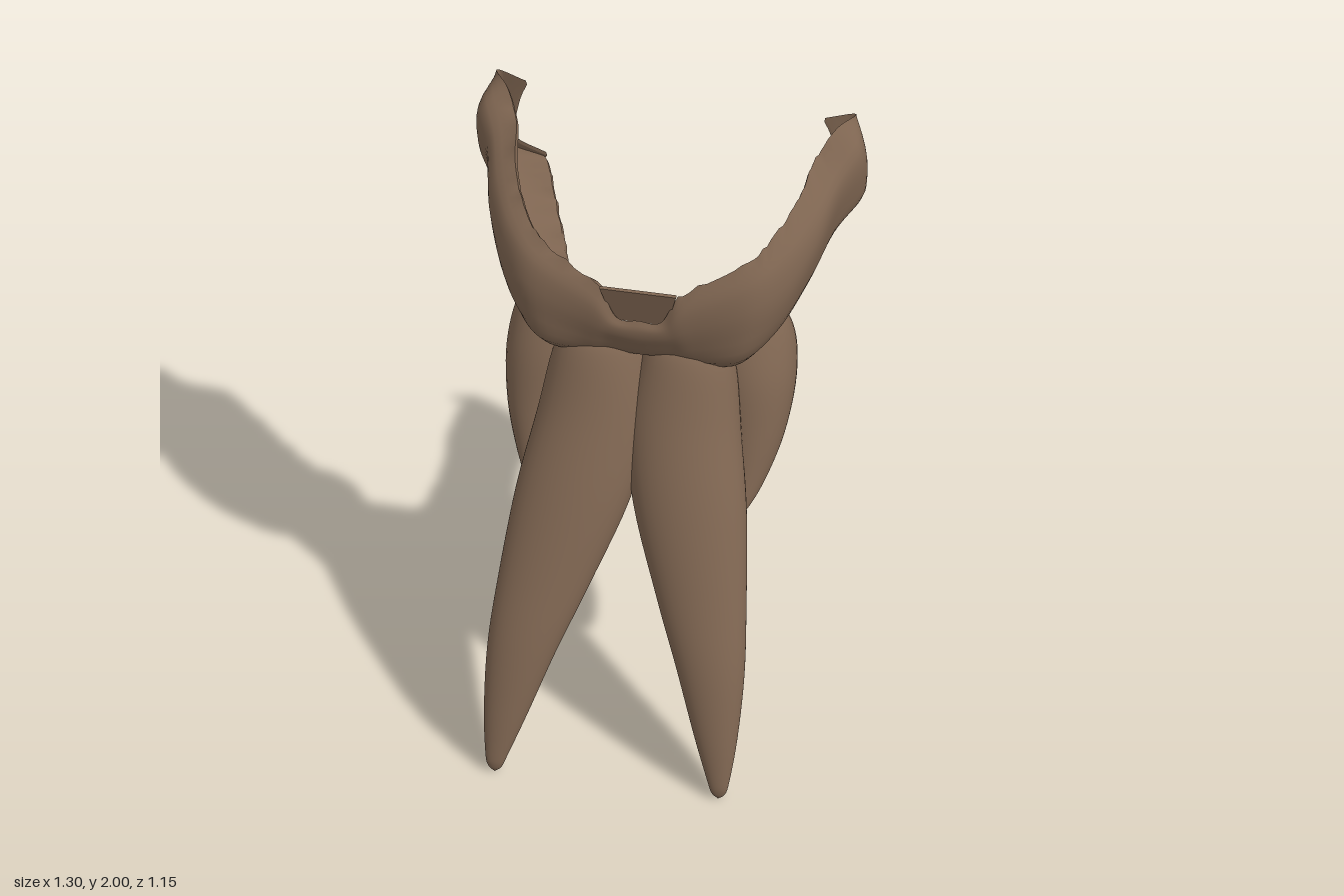
import * as THREE from 'three';
import { mergeVertices } from 'three/addons/utils/BufferGeometryUtils.js';

// Smooth surface from a grid of points: rows[i][j]
function surface(rows) {
  const n = rows[0].length, index = [];
  for (let i = 0; i < rows.length - 1; i++) {
    for (let j = 0; j < n - 1; j++) {
      const a = i * n + j, b = a + n;
      index.push(a, a + 1, b, a + 1, b + 1, b);
    }
  }
  let g = new THREE.BufferGeometry().setFromPoints(rows.flat());
  g.setIndex(index);
  g = mergeVertices(g, 1e-5);
  g.computeVertexNormals();
  return g;
}

const spline = (pts) => new THREE.CatmullRomCurve3(pts, false, 'catmullrom', 0.5);

// Tapered limb: stations are [x, y, z, radiusX, radiusZ], rings lean by tilt
function limb(stations, tilt, side) {
  const axis = spline(stations.map(([x, y, z]) => new THREE.Vector3(x, y, z)));
  const radii = spline(stations.map((s) => new THREE.Vector3(s[3], s[4], 0)));
  const rows = [], steps = (stations.length - 1) * 5;
  for (let i = 0; i <= steps; i++) {
    const c = axis.getPoint(i / steps), r = radii.getPoint(i / steps), row = [];
    for (let j = 0; j <= 32; j++) {
      const t = (j % 32) / 32 * Math.PI * 2 * side;
      const dz = Math.max(r.y, 0) * Math.sin(t);
      row.push(new THREE.Vector3(side * (c.x + Math.max(r.x, 0) * Math.cos(t)), Math.max(0, c.y + tilt * dz), c.z + dz));
    }
    rows.push(row);
  }
  return surface(rows);
}

const FRONT = [
  [0.14, 1.375, -0.10, 0, 0], [0.14, 1.367, -0.095, 0.085, 0.055], [0.142, 1.345, -0.083, 0.135, 0.09],
  [0.145, 1.28, -0.055, 0.163, 0.113], [0.15, 1.1, 0.03, 0.19, 0.115], [0.195, 0.87, 0.16, 0.19, 0.105],
  [0.265, 0.6, 0.31, 0.15, 0.08], [0.315, 0.4, 0.41, 0.114, 0.066], [0.35, 0.2, 0.495, 0.073, 0.044],
  [0.37, 0.06, 0.55, 0.037, 0.021], [0.373, 0.018, 0.562, 0.022, 0.012], [0.373, 0, 0.565, 0, 0],
];
const REAR = [
  [0.305, 1.42, -0.285, 0, 0], [0.305, 1.411, -0.28, 0.085, 0.06], [0.308, 1.38, -0.262, 0.13, 0.095],
  [0.32, 1.3, -0.225, 0.152, 0.115], [0.34, 1.18, -0.155, 0.142, 0.11], [0.355, 1.03, -0.075, 0.105, 0.08],
  [0.35, 0.9, 0, 0.065, 0.05], [0.34, 0.82, 0.06, 0.03, 0.022], [0.335, 0.79, 0.085, 0, 0],
];

// Collar cross-sections from the middle to the tip: rim, shoulder, belly, under, inner lip
const COLLAR = [
  [[0, 1.515, 0.045], [0, 1.48, 0.06], [0, 1.42, 0.045], [0, 1.33, -0.02], [0, 1.27, -0.24]],
  [[0.075, 1.52, 0.045], [0.09, 1.49, 0.06], [0.1, 1.43, 0.045], [0.1, 1.33, -0.02], [0.08, 1.27, -0.24]],
  [[0.145, 1.635, 0.03], [0.16, 1.56, 0.06], [0.18, 1.45, 0.05], [0.18, 1.33, -0.01], [0.15, 1.275, -0.245]],
  [[0.33, 1.73, -0.03], [0.36, 1.66, 0.02], [0.36, 1.52, 0.04], [0.32, 1.35, 0], [0.22, 1.28, -0.28]],
  [[0.42, 1.80, -0.13], [0.47, 1.73, -0.08], [0.47, 1.58, -0.05], [0.42, 1.42, -0.10], [0.30, 1.35, -0.35]],
  [[0.475, 1.87, -0.26], [0.54, 1.80, -0.22], [0.545, 1.68, -0.20], [0.49, 1.52, -0.24], [0.34, 1.46, -0.42]],
  [[0.50, 1.93, -0.40], [0.585, 1.87, -0.37], [0.585, 1.74, -0.37], [0.545, 1.62, -0.40], [0.39, 1.57, -0.50]],
  [[0.55, 1.985, -0.50], [0.635, 1.93, -0.48], [0.65, 1.80, -0.49], [0.61, 1.69, -0.50], [0.42, 1.65, -0.55]],
  [[0.60, 2.0, -0.57], [0.61, 1.93, -0.57], [0.615, 1.80, -0.57], [0.60, 1.70, -0.57], [0.44, 1.66, -0.57]],
  [[0.50, 1.98, -0.555], [0.525, 1.91, -0.56], [0.545, 1.80, -0.56], [0.54, 1.73, -0.56], [0.43, 1.68, -0.56]],
];

function collarGrids() {
  const mirrored = COLLAR.slice(1).reverse().map((s) => s.map(([x, y, z]) => [-x, y, z]));
  const stations = [...mirrored, ...COLLAR];
  const lines = [0, 1, 2, 3, 4].map((k) => spline(stations.map((s) => new THREE.Vector3(...s[k]))));
  let seed = 7;
  const noise = () => (seed = (seed * 16807) % 2147483647) / 2147483647 - 0.5;
  const outer = [], inner = [], steps = 126;
  for (let i = 0; i <= steps; i++) {
    const u = i / steps, p = lines.map((l) => l.getPoint(u));
    const core = p[0].clone().add(p[4]).multiplyScalar(0.5);
    const row = spline(p).getPoints(16);
    // torn upper and lower edges along both arms
    const arm = Math.abs(u - 0.5);
    if (arm > 0.1 && arm < 0.36) {
      row[0].y += noise() * 0.018;
      row[16].y += noise() * 0.03;
      row[16].z += noise() * 0.02;
    }
    outer.push(row);
    inner.push(row.map((v) => v.clone().lerp(core, 0.1)));
  }
  return { outer, inner };
}

export function createModel() {
  const model = new THREE.Group();
  const brown = new THREE.MeshStandardMaterial({ color: 0x7d6450, side: THREE.DoubleSide });
  brown.name = 'brown hide';
  const add = (geometry, name, parent = model) => {
    const mesh = new THREE.Mesh(geometry, brown);
    mesh.name = name;
    parent.add(mesh);
    return mesh;
  };

  // Long front and short rear tapered limbs
  for (const side of [1, -1]) {
    const label = side > 0 ? 'left' : 'right';
    add(limb(FRONT, 0.5, side), label + 'FrontTusk');
    add(limb(REAR, 0.55, side), label + 'RearTusk');
  }

  // Hollow curved collar: outer skin, inner skin and the edges joining them
  const collar = new THREE.Group();
  collar.name = 'collar';
  model.add(collar);
  const { outer, inner } = collarGrids();
  const last = outer[0].length - 1;
  add(surface(outer), 'collarOuterSkin', collar);
  add(surface(inner.map((r) => [...r].reverse())), 'collarInnerSkin', collar);
  add(surface(outer.map((r, i) => [inner[i][0], r[0]])), 'collarRim', collar);
  add(surface(outer.map((r, i) => [r[last], inner[i][last]])), 'collarLowerLip', collar);
  add(surface([inner[0], outer[0]]), 'collarRightEnd', collar);
  add(surface([outer[outer.length - 1], inner[inner.length - 1]]), 'collarLeftEnd', collar);

  // Small flared plate set in the front notch
  const shape = new THREE.Shape([[-0.09, 0], [0.09, 0], [0.128, 0.15], [-0.128, 0.15]].map((p) => new THREE.Vector2(...p)));
  const plate = add(new THREE.ExtrudeGeometry(shape, { depth: 0.012, bevelEnabled: false }), 'notchPlate');
  plate.position.set(0, 1.495, 0.01);
  plate.rotation.x = 0.25;

  return model;
}
